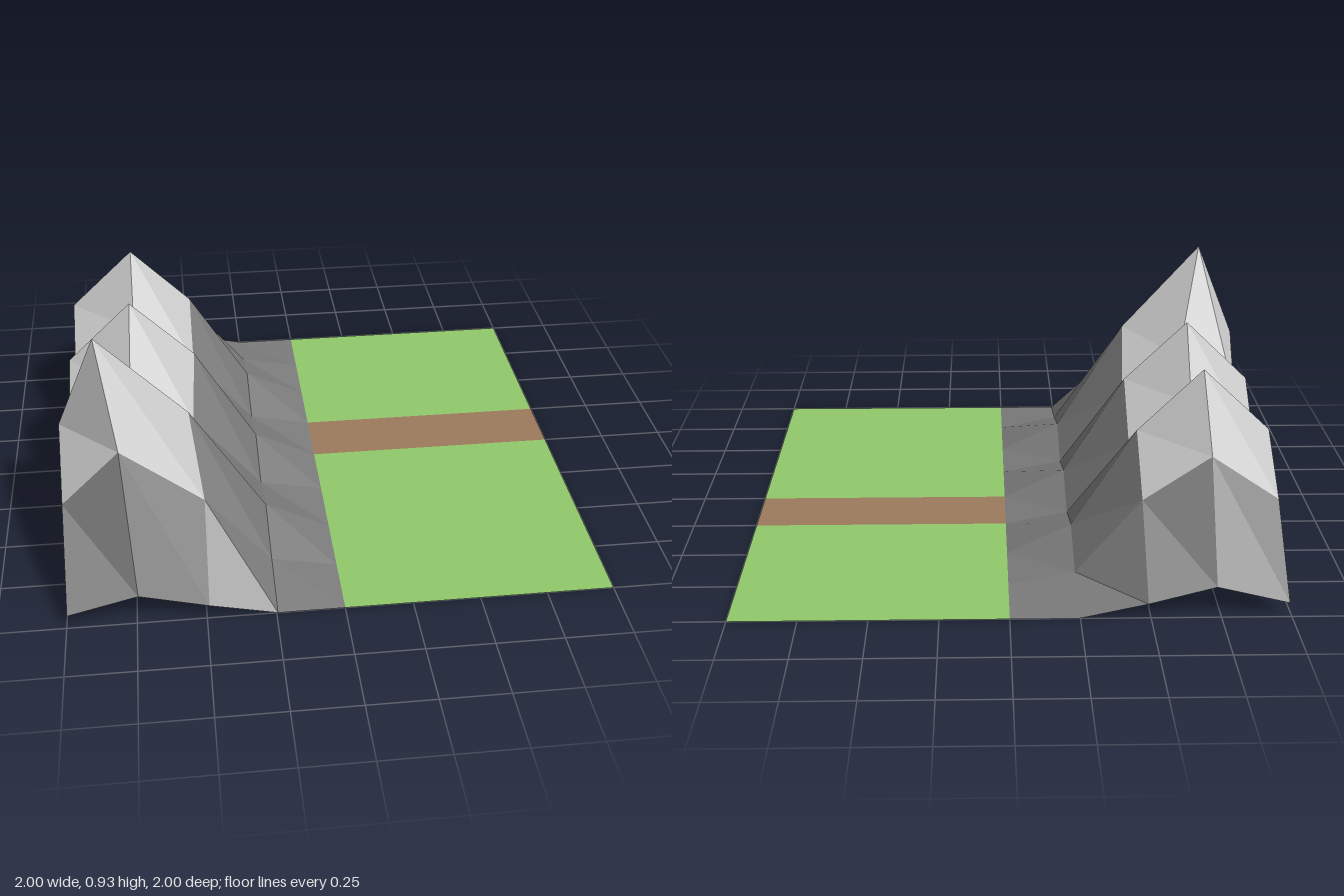
import * as THREE from 'three';

const mat = (name, color) => {
  const m = new THREE.MeshStandardMaterial({ color, flatShading: true, side: THREE.DoubleSide });
  m.name = name;
  return m;
};

// Mountain grid: one row per z step, points run from the outer edge to the meadow as [x, y, z]
const rows = [
  [[-0.99, 0.055, -1], [-0.73, 0.12, -1], [-0.49, 0.055, -1], [-0.245, 0, -1], [0, 0, -1]],
  [[-0.98, 0.34, -0.75], [-0.73, 0.51, -0.75], [-0.485, 0.34, -0.75], [-0.245, 0.05, -0.75], [0, 0, -0.75]],
  [[-0.98, 0.51, -0.5], [-0.725, 0.75, -0.5], [-0.485, 0.51, -0.5], [-0.245, 0.12, -0.5], [0, 0, -0.5]],
  [[-0.98, 0.345, -0.25], [-0.725, 0.515, -0.25], [-0.485, 0.345, -0.25], [-0.245, 0.05, -0.25], [0, 0, -0.25]],
  [[-0.98, 0.525, 0], [-0.73, 0.765, 0], [-0.485, 0.525, 0], [-0.245, 0.12, 0], [0, 0, 0]],
  [[-0.985, 0.36, 0.25], [-0.74, 0.53, 0.25], [-0.505, 0.365, 0.25], [-0.245, 0.05, 0.25], [0, 0, 0.25]],
  [[-1, 0.55, 0.51], [-0.85, 0.925, 0.555], [-0.525, 0.575, 0.52], [-0.245, 0.12, 0.5], [0, 0, 0.5]],
  [[-0.995, 0.36, 0.75], [-0.78, 0.585, 0.775], [-0.485, 0.34, 0.75], [-0.245, 0.05, 0.75], [0, 0, 0.75]],
  [[-0.995, 0.055, 1], [-0.74, 0.12, 1], [-0.49, 0.055, 1], [-0.245, 0, 1], [0, 0, 1]],
];

// Collects the grid cells chosen by a test into one faceted surface
function surface(name, material, test) {
  const pos = [];
  for (let r = 0; r < rows.length - 1; r++) {
    for (let c = 0; c < 4; c++) {
      if (!test(r, c)) continue;
      const a = rows[r][c], b = rows[r + 1][c], d = rows[r + 1][c + 1], e = rows[r][c + 1];
      for (const p of [a, b, d, a, d, e]) pos.push(...p);
    }
  }
  const geo = new THREE.BufferGeometry();
  geo.setAttribute('position', new THREE.Float32BufferAttribute(pos, 3));
  geo.computeVertexNormals();
  const mesh = new THREE.Mesh(geo, material);
  mesh.name = name;
  return mesh;
}

// Flat ground strip from x = 0 to 1 between two z values
function strip(name, material, z0, z1) {
  const geo = new THREE.PlaneGeometry(1, z1 - z0).rotateX(-Math.PI / 2);
  const mesh = new THREE.Mesh(geo, material);
  mesh.position.set(0.5, 0, (z0 + z1) / 2);
  mesh.name = name;
  return mesh;
}

export function createModel() {
  const rock = mat('rock grey', 0x7c7c7c);
  const snow = mat('snow grey', 0xc8c8c8);
  const grass = mat('grass green', 0x90c96b);
  const dirt = mat('dirt brown', 0x9d7a5c);

  // Snow covers the ridge away from both ends
  const isSnow = (r, c) => c < 2 && r > 0 && r < 7;

  const group = new THREE.Group();
  group.name = 'mountainTerrain';
  group.add(
    surface('snowCaps', snow, isSnow),
    surface('rockSlopes', rock, (r, c) => !isSnow(r, c)),
    strip('backMeadow', grass, -1, -0.25),
    strip('dirtPath', dirt, -0.25, 0),
    strip('frontMeadow', grass, 0, 1),
  );
  return group;
}
